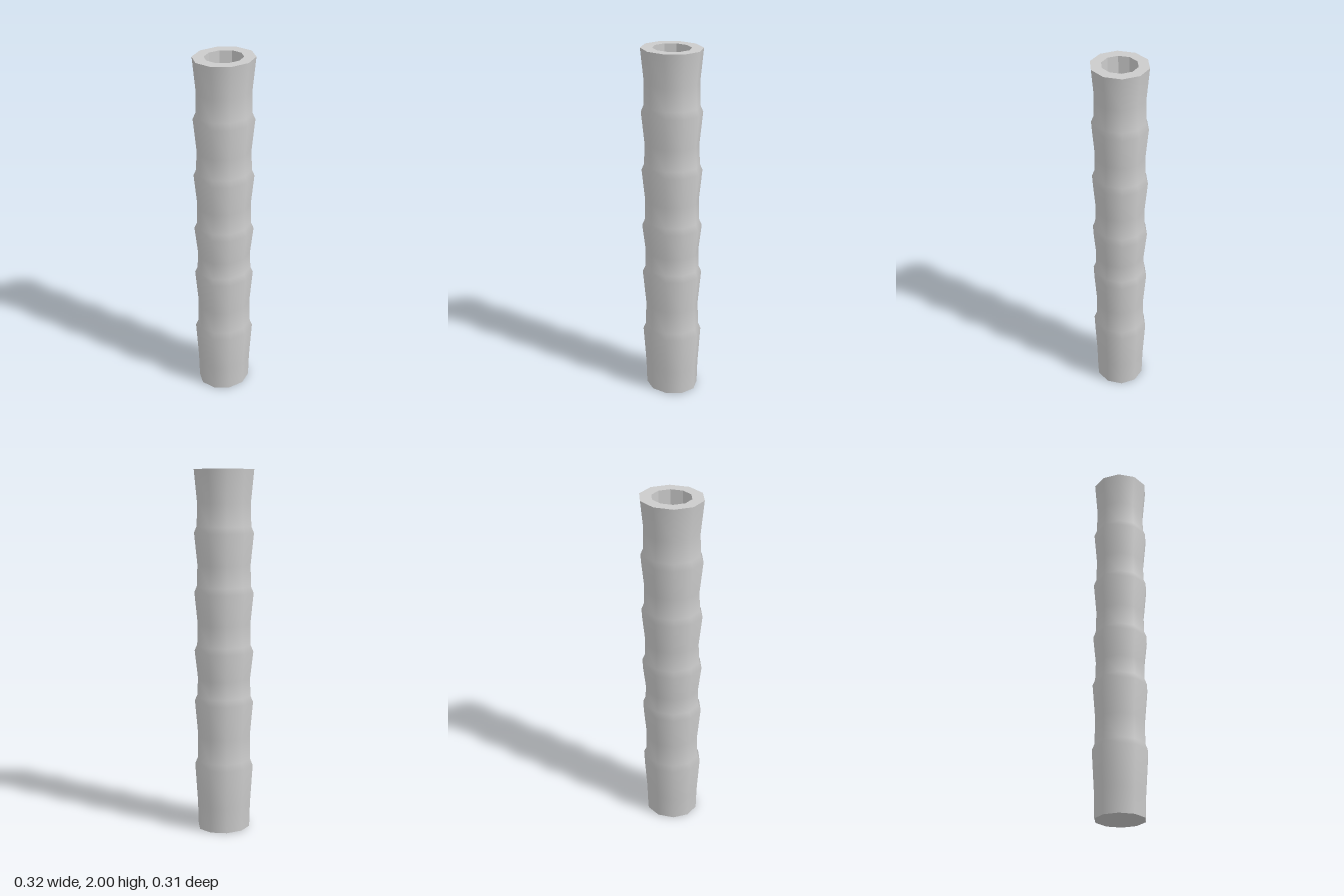
import * as THREE from 'three';

const SIDES = 10;
const R = 0.168; // widest radius, reached at the nodes and the top rim

// Slightly oval, skewed cross-section shared by every part
const skew = new THREE.Matrix4().set(
  1, 0, 0, 0,
  0, 1, 0, 0,
  0.053, 0, 0.92, -0.001,
  0, 0, 0, 1
);

function ring(name, profile, flatShading = false) {
  const points = profile.map(([r, y]) => new THREE.Vector2(r, y));
  const geometry = new THREE.LatheGeometry(points, SIDES).applyMatrix4(skew);
  const material = new THREE.MeshStandardMaterial({ color: 0xcccccc, flatShading });
  const mesh = new THREE.Mesh(geometry, material);
  mesh.name = name;
  return mesh;
}

export function createModel() {
  const group = new THREE.Group();
  group.name = 'bambooPole';

  // Stalk wall: each segment flares to a node, then steps in to a waist
  const nodes = [0.36, 0.725, 1.01, 1.335, 1.66];
  const base = 0.149, shoulder = 0.153, waist = 0.15;
  const wall = [[base, 0], [0.153, 0.14]];
  nodes.forEach((y, i) => {
    const next = nodes[i + 1] ?? 2;
    wall.push([R, y], [shoulder, y + 0.035], [waist, y + (next - y) * 0.47]);
  });
  wall.push([R, 2]);
  group.add(ring('stalk', wall));

  // Cut faces and the hollow in the top segment
  const hole = 0.105, floor = 1.7;
  group.add(ring('topRim', [[R, 2], [hole, 2]], true));
  group.add(ring('hollowWall', [[hole, 2], [hole, floor]], true));
  group.add(ring('hollowFloor', [[hole, floor], [0, floor]], true));
  group.add(ring('bottomCap', [[0, 0], [base, 0]], true));

  return group;
}
